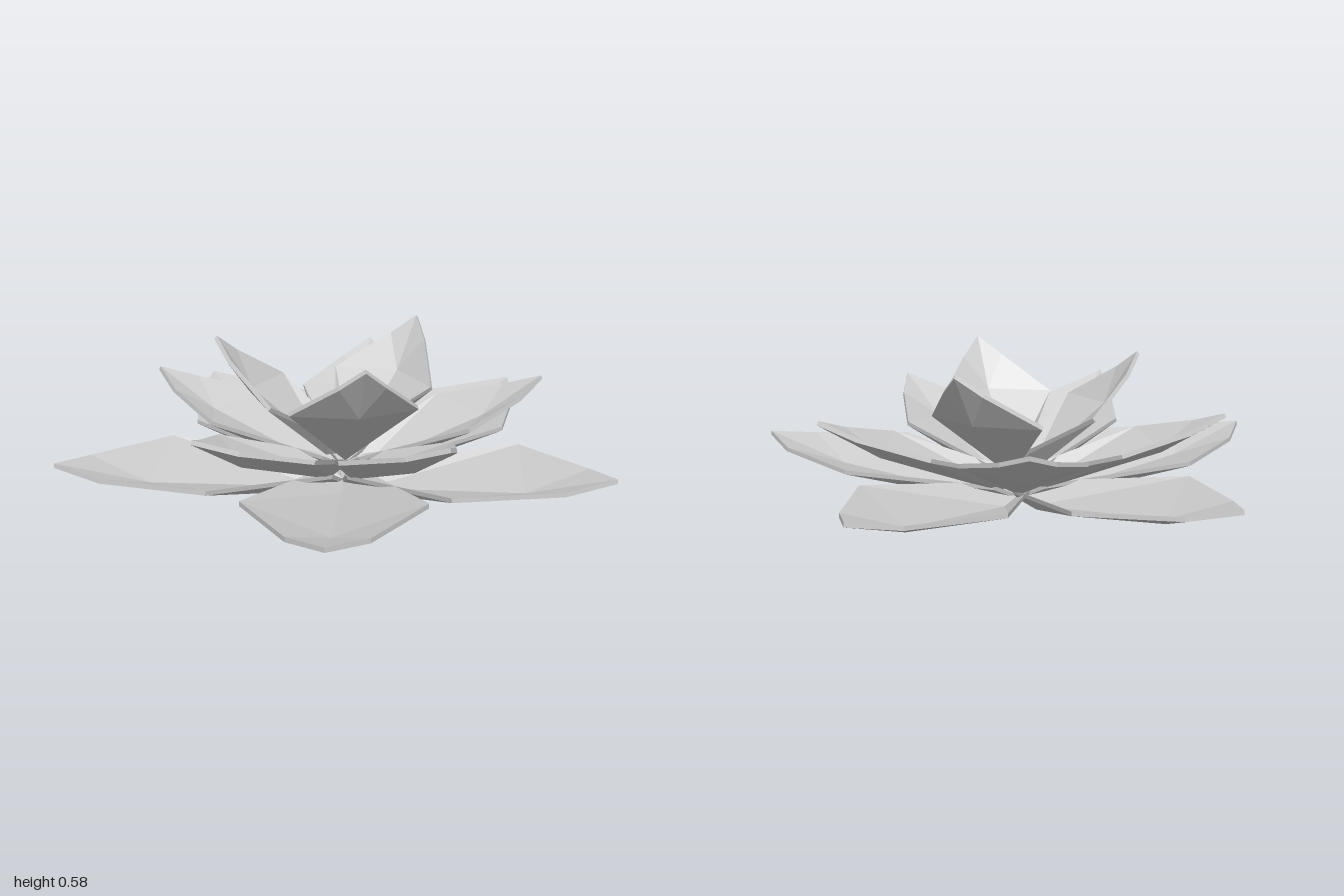
import * as THREE from 'three';

const THICKNESS = 0.016;

// Each ring gives its half-petal section points as [across, up, outward]:
// centre, keelBase, keel (underside) and base, wide, shoulder, tip (upper rim)
const RINGS = [
  {
    name: 'outerPetal', tilt: 0.16, azimuths: [4, 79.4, 144, 214, 288.6],
    centre: [0, 0.02, 0], keelBase: [0, 0, 0.1], keel: [0, 0.09, 0.72],
    base: [0.09, 0.09, 0.065], wide: [0.31, 0.168, 0.572],
    shoulder: [0.13, 0.185, 0.9], tip: [0, 0.212, 1.036],
  },
  {
    name: 'middlePetal', tilt: 0.42, azimuths: [40.2, 114.9, 180, 254.2, 330],
    centre: [0, 0.08, 0], keelBase: [0, 0.06, 0.08], keel: [0, 0.235, 0.54],
    base: [0.066, 0.14, 0.047], wide: [0.222, 0.275, 0.417],
    shoulder: [0.095, 0.34, 0.645], tip: [0, 0.392, 0.762],
  },
  {
    name: 'innerPetal', tilt: 0.78, azimuths: [1, 131.3, 234],
    centre: [0, 0.14, 0], keelBase: [0, 0.13, 0.06], keel: [0, 0.375, 0.34],
    base: [0.05, 0.22, 0.02], wide: [0.228, 0.38, 0.235],
    shoulder: [0.08, 0.51, 0.392], tip: [0, 0.58, 0.45],
  },
];

// Thin folded petal with a keel, pointing along +z
function petalGeometry(ring) {
  const normal = new THREE.Vector3(0, Math.cos(ring.tilt), -Math.sin(ring.tilt)).multiplyScalar(THICKNESS);
  const positions = [];
  const point = (key, side, top) => {
    const p = new THREE.Vector3(...ring[key]);
    p.x *= side;
    const isUnder = key === 'centre' || key.startsWith('keel');
    if (isUnder && top) p.add(normal);
    if (!isUnder && !top) p.sub(normal);
    return p;
  };
  const face = (a, b, c, flip) => {
    for (const p of flip ? [a, c, b] : [a, b, c]) positions.push(p.x, p.y, p.z);
  };
  const facets = [
    ['centre', 'keelBase', 'base'], ['keelBase', 'wide', 'base'], ['keelBase', 'keel', 'wide'],
    ['keel', 'shoulder', 'wide'], ['keel', 'tip', 'shoulder'],
  ];
  const rim = ['centre', 'base', 'wide', 'shoulder', 'tip'];
  for (const side of [1, -1]) {
    // Upper and lower skins
    for (const top of [true, false]) {
      for (const keys of facets) {
        face(...keys.map((k) => point(k, side, top)), (side < 0) === top);
      }
    }
    // Rim wall
    for (let i = 0; i < rim.length - 1; i++) {
      const au = point(rim[i], side, false), at = point(rim[i], side, true);
      const bu = point(rim[i + 1], side, false), bt = point(rim[i + 1], side, true);
      face(au, bt, bu, side < 0);
      face(au, at, bt, side < 0);
    }
  }
  const geometry = new THREE.BufferGeometry();
  geometry.setAttribute('position', new THREE.Float32BufferAttribute(positions, 3));
  geometry.computeVertexNormals();
  return geometry;
}

export function createModel() {
  const flower = new THREE.Group();
  flower.name = 'waterLily';
  const material = new THREE.MeshStandardMaterial({ color: 0xcccccc, flatShading: true });

  // Rings of petals, each turned to its own azimuth about the flower's centre
  for (const ring of RINGS) {
    const geometry = petalGeometry(ring);
    ring.azimuths.forEach((azimuth, i) => {
      const petal = new THREE.Mesh(geometry, material);
      petal.name = `${ring.name}${i + 1}`;
      petal.position.set(-0.02, 0, 0.08);
      petal.rotation.y = Math.PI - THREE.MathUtils.degToRad(azimuth);
      flower.add(petal);
    });
  }
  return flower;
}
